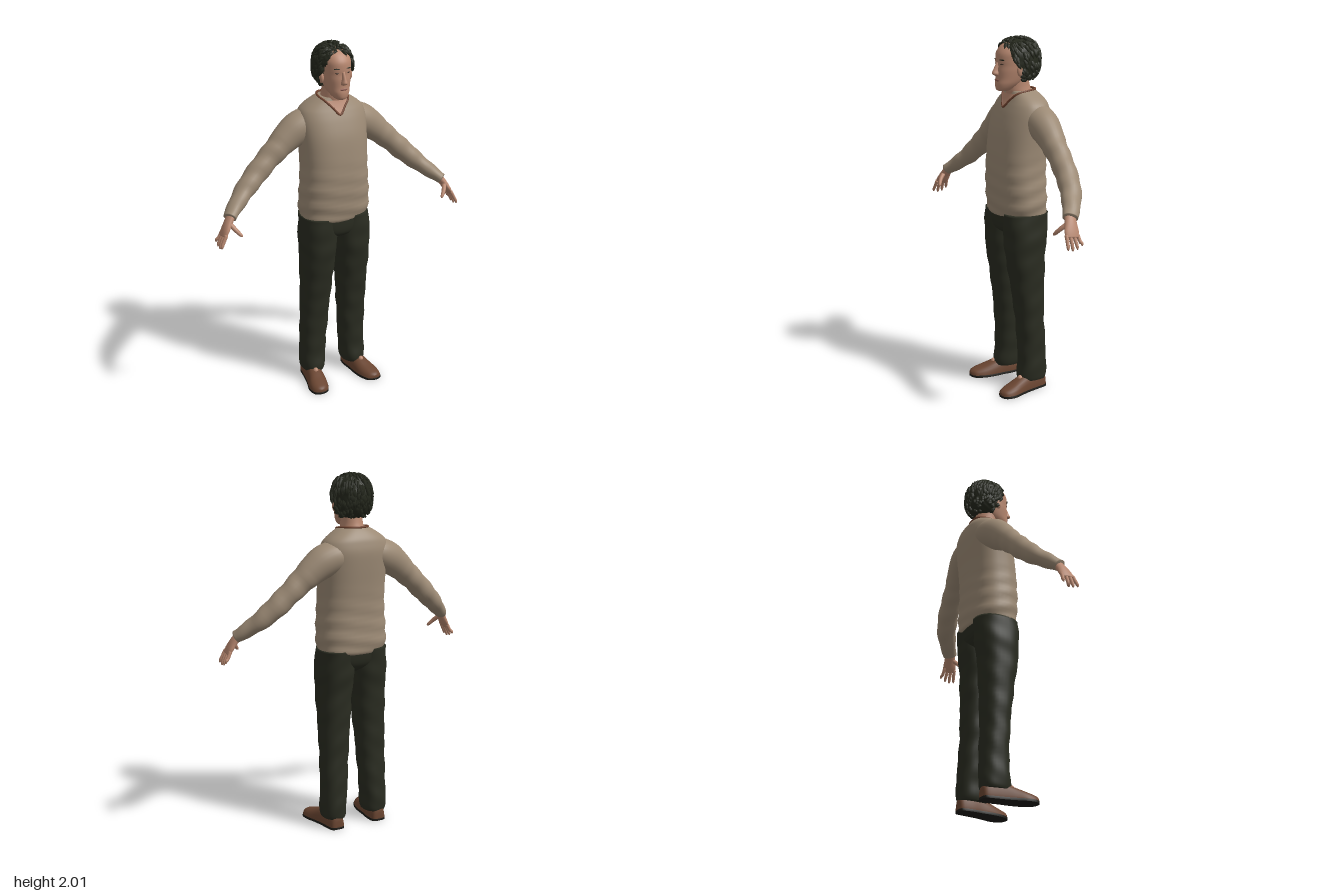
import * as THREE from 'three';
import { mergeGeometries } from 'three/addons/utils/BufferGeometryUtils.js';

const colours = {
  sweater: 0x9c8a75, trousers: 0x2a2c21, hair: 0x24271c, skin: 0xb88870, shoe: 0x6a4531,
  sole: 0x1c1b17, trim: 0x70432f, lips: 0x925f52, eyes: 0x4c392f,
};
const mats = {};
for (const [name, color] of Object.entries(colours)) {
  mats[name] = new THREE.MeshStandardMaterial({ color });
  mats[name].name = name;
}
const V = (x, y, z) => new THREE.Vector3(x, y, z);

// Smoothly subdivides a table of cross-section rows
function refine(rows, k = 4) {
  const out = [];
  for (let i = 0; i < rows.length - 1; i++) {
    const [a, b, c, d] = [-1, 0, 1, 2].map(o => rows[Math.min(rows.length - 1, Math.max(0, i + o))]);
    for (let j = 0; j < k; j++) {
      const t = j / k;
      out.push(b.map((p, n) => p + 0.5 * t * (c[n] - a[n] + t * (2 * a[n] - 5 * p + 4 * c[n] - d[n]
        + t * (3 * (p - c[n]) + d[n] - a[n])))));
    }
  }
  out.push(rows[rows.length - 1]);
  return out;
}

// Skins closed rings of points and caps both ends; side -1 mirrors in x
function loft(rings, side = 1) {
  if (side < 0) rings = rings.map(r => r.map(p => V(-p.x, p.y, p.z)).reverse());
  const n = rings[0].length, pos = [], idx = [];
  rings.forEach(r => r.forEach(p => pos.push(p.x, p.y, p.z)));
  for (let i = 0; i < rings.length - 1; i++) for (let j = 0; j < n; j++) {
    const a = i * n + j, b = i * n + (j + 1) % n;
    idx.push(a, a + n, b, b, a + n, b + n);
  }
  [0, rings.length - 1].forEach((r, end) => {
    const c = rings[r].reduce((s, p) => s.add(p), V(0, 0, 0)).divideScalar(n);
    const m = pos.length / 3;
    pos.push(c.x, c.y, c.z);
    for (let j = 0; j < n; j++) {
      const a = r * n + j, b = r * n + (j + 1) % n;
      end ? idx.push(m, b, a) : idx.push(m, a, b);
    }
  });
  const g = new THREE.BufferGeometry();
  g.setAttribute('position', new THREE.Float32BufferAttribute(pos, 3));
  g.setIndex(idx);
  g.computeVertexNormals();
  return g;
}
const circle = (n, e, f) => Array.from({ length: n }, (_, i) => {
  const a = i / n * Math.PI * 2, c = Math.cos(a), s = Math.sin(a);
  return f(Math.sign(c) * Math.abs(c) ** (2 / e), Math.sign(s) * Math.abs(s) ** (2 / e), a);
});

// Upright rings from rows of [y, xMin, xMax, zFront, zBack]
const upright = (rows, e = 2.3, n = 36, fold = () => 0) => rows.map(([y, x0, x1, zf, zb]) =>
  circle(n, e, (c, s, a) => {
    const w = fold(a, y);
    return V((x0 + x1) / 2 + c * ((x1 - x0) / 2 + w), y, (zf + zb) / 2 + s * ((zf - zb) / 2 + w));
  }));
const sym = rows => refine(rows.map(([y, w, zf, zb]) => [y, -w, w, zf, zb]));

// Rings across a path from rows of [x, y, z, thickness, width along z]
function along(rows, n = 20, fold = () => 0) {
  const p = rows.map(r => V(r[0], r[1], r[2]));
  return rows.map((r, i) => {
    const d = p[Math.min(i + 1, p.length - 1)].clone().sub(p[Math.max(i - 1, 0)]).normalize();
    const u = d.clone().cross(V(0, 0, 1)).normalize(), v = u.clone().cross(d);
    return circle(n, 2, (c, s, a) => p[i].clone().addScaledVector(u, c * (r[3] + fold(a, r[0])))
      .addScaledVector(v, s * (r[4] + fold(a, r[0]))));
  });
}

// Front surface depth of an upright loft
function frontZ(rows, x, y, e) {
  let i = 0;
  while (i < rows.length - 2 && rows[i + 1][0] < y) i++;
  const t = (y - rows[i][0]) / (rows[i + 1][0] - rows[i][0]);
  const [, , w, zf, zb] = rows[i].map((q, n) => q + t * (rows[i + 1][n] - q));
  return (zf + zb) / 2 + (zf - zb) / 2 * Math.max(0, 1 - Math.abs(x / w) ** e) ** (1 / e);
}

export function createModel() {
  const root = new THREE.Group();
  root.name = 'standingMan';
  const add = (name, geo, mat) => {
    const m = new THREE.Mesh(geo, mats[mat]);
    m.name = name;
    root.add(m);
    return m;
  };
  const ball = (name, mat, p, r) => {
    const m = add(name, new THREE.SphereGeometry(1, 20, 14), mat);
    m.position.set(...p);
    m.scale.set(...r);
    return m;
  };

  // Sweater body, with soft folds near the hem
  const torso = sym([[1.018, .18, .1, -.15], [1.04, .197, .112, -.162], [1.1, .202, .119, -.165], [1.2, .197, .126, -.163],
    [1.3, .191, .125, -.164], [1.4, .191, .117, -.17], [1.5, .195, .102, -.179], [1.58, .198, .077, -.183],
    [1.63, .187, .056, -.175], [1.66, .163, .042, -.165], [1.69, .12, .03, -.145], [1.712, .08, .024, -.125]]);
  const hemFold = (a, y) => .004 * Math.max(0, Math.min(1, (1.4 - y) * 5)) * Math.sin(y * 70 + 1.5 * Math.sin(2 * a));
  add('sweaterBody', loft(upright(torso, 2.4, 48, hemFold)), 'sweater');

  // Open neckline and its trim
  const neckline = new THREE.PlaneGeometry(2, 1, 10, 10), q = neckline.attributes.position;
  for (let i = 0; i < q.count; i++) {
    const t = q.getY(i) + .5, x = q.getX(i) * t * .068, y = 1.625 + t * .072;
    q.setXYZ(i, x, y, frontZ(torso, x, y, 2.4) + .004);
  }
  neckline.computeVertexNormals();
  add('neckline', neckline, 'skin');
  const half = [[.035, 1.66], [.07, 1.697]].map(([x, y]) => V(x, y, frontZ(torso, x, y, 2.4) + .003))
    .concat([V(.082, 1.711, -.04), V(.055, 1.716, -.11)]);
  const collar = [V(0, 1.623, frontZ(torso, 0, 1.623, 2.4) + .003), ...half, V(0, 1.716, -.126),
    ...half.map(p => V(-p.x, p.y, p.z)).reverse()];
  add('collarTrim', new THREE.TubeGeometry(new THREE.CatmullRomCurve3(collar, true), 80, .006, 8, true), 'trim');

  // Neck and head
  add('neck', loft(upright(sym([[1.64, .07, .02, -.12], [1.7, .064, .034, -.112], [1.74, .059, .036, -.1],
    [1.8, .058, .03, -.09]]), 2)), 'skin');
  const head = sym([[1.712, .02, .085, .035], [1.722, .036, .1, .01], [1.75, .055, .104, -.04], [1.78, .066, .1, -.08],
    [1.82, .075, .1, -.11], [1.85, .078, .097, -.12], [1.88, .08, .098, -.125], [1.92, .08, .092, -.12],
    [1.96, .064, .06, -.1], [1.985, .03, .01, -.06]]);
  add('head', loft(upright(head, 2.2)), 'skin');
  add('nose', loft(upright(sym([[1.793, .008, .1, .08], [1.8, .015, .118, .08], [1.81, .017, .13, .08],
    [1.83, .011, .122, .08], [1.868, .008, .102, .08]]), 2, 14)), 'skin');
  ball('mouth', 'lips', [0, 1.772, frontZ(head, 0, 1.772, 2.2) - .001], [.024, .006, .004]);
  for (const s of [1, -1]) {
    ball('eye', 'eyes', [s * .032, 1.86, frontZ(head, .032, 1.86, 2.2) - .002], [.012, .004, .004]).rotation.y = s * .3;
    ball('eyebrow', 'hair', [s * .034, 1.883, frontZ(head, .034, 1.883, 2.2) - .001], [.019, .0035, .004]).rotation.y = s * .3;
    ball('ear', 'skin', [s * .085, 1.825, .006], [.012, .03, .017]);
  }

  // Hair: a cap tucked in behind the face, covered with small locks
  let seed = 7;
  const rnd = () => (seed = seed * 16807 % 2147483647) / 2147483647;
  const centre = V(0, 1.872, -.034);
  const onCap = (d, k) => {
    const m = (Math.abs(d.x) ** 2.4 + Math.abs(d.y) ** 2.4 + Math.abs(d.z) ** 2.4) ** (1 / 2.4);
    return V(d.x * .097, d.y * .12, d.z * .114).multiplyScalar(k / m).add(centre);
  };
  const isFace = p => p.y < 1.94 && p.z > -.03 + .5 * (p.y - 1.74);
  const cap = new THREE.SphereGeometry(1, 56, 40), cp = cap.attributes.position;
  for (let i = 0; i < cp.count; i++) {
    const d = V().fromBufferAttribute(cp, i);
    const p = onCap(d, 1 + .02 * Math.sin(d.x * 23 + 3 * d.y) * Math.sin(d.z * 9 + d.y * 15));
    if (isFace(p)) p.sub(centre).multiplyScalar(.6).add(centre);
    cp.setXYZ(i, p.x, p.y, p.z);
  }
  cap.computeVertexNormals();
  add('hairCap', cap, 'hair');
  const locks = [];
  while (locks.length < 260) {
    const y = rnd() * 1.75 - .75, a = rnd() * Math.PI * 2, r = Math.sqrt(1 - y * y);
    const d = V(r * Math.sin(a), y, r * Math.cos(a));
    const flow = V(d.x * .5 + rnd() * .3 - .15, -1, -.4);
    const pts = [.97, 1.045, 1.05, 1.06].map((k, i) => onCap(d.clone().addScaledVector(flow, i * .12).normalize(), k));
    if (pts.some(isFace)) continue;
    locks.push(loft(along(pts.map((p, i) => [p.x, p.y, p.z, ...[.006, .009, .007, .001].slice(i, i + 1), [.01, .012, .008, .001][i]]), 6)));
  }
  add('hairLocks', mergeGeometries(locks), 'hair');

  // Seat of the trousers
  add('trouserSeat', loft(upright(sym([[.9, .04, .03, -.06], [.93, .11, .085, -.115], [.97, .185, .102, -.142],
    [1.04, .19, .104, -.153]]), 2.4)), 'trousers');

  const sleeve = refine([[.1, 1.575, -.075, .075, .085], [.14, 1.56, -.075, .088, .092], [.2, 1.535, -.073, .09, .088],
    [.26, 1.495, -.07, .08, .077], [.32, 1.445, -.065, .069, .067], [.38, 1.393, -.06, .062, .062],
    [.45, 1.328, -.05, .06, .061], [.52, 1.265, -.03, .053, .059], [.58, 1.213, .002, .044, .053],
    [.63, 1.172, .04, .036, .045], [.658, 1.148, .06, .033, .04]]);
  const legRows = refine([[.06, .07, .195, .035, -.125], [.09, .064, .2, .04, -.13], [.2, .055, .199, .03, -.13],
    [.4, .04, .199, .038, -.118], [.6, .026, .2, .063, -.12], [.8, .01, .204, .095, -.128],
    [.92, 0, .205, .104, -.142], [1.04, .002, .196, .104, -.152]], 8);
  const shoeRows = refine([[-.128, .135, .02, .05], [-.115, .135, .04, .085], [-.06, .137, .048, .095], [0, .145, .05, .095],
    [.05, .152, .055, .08], [.1, .163, .059, .062], [.14, .17, .054, .05], [.17, .173, .04, .04], [.185, .174, .014, .028]]);
  const footRings = (lo, hi, grow) => shoeRows.map(([z, cx, w, h]) => circle(28, 2.4, (c, s) =>
    V(cx + c * w * grow, Math.min(hi, Math.max(lo, -s * h)), z)));

  for (const s of [1, -1]) {
    const side = s > 0 ? 'left' : 'right';
    // Sleeve, hand, fingers and thumb
    add(side + 'Sleeve', loft(along(sleeve, 28, (a, x) =>
      x < .3 ? 0 : .0025 * Math.sin(x * 75 + 2 * Math.sin(a))), s), 'sweater');
    add(side + 'Palm', loft(along(refine([[.635, 1.17, .05, .023, .03], [.668, 1.125, .065, .02, .034],
      [.692, 1.085, .075, .016, .042], [.708, 1.058, .08, .01, .036]])), s), 'skin');
    for (let k = 0; k < 4; k++) {
      const z = .046 + .022 * k, tip = .036 + .028 * k, drop = [.02, .005, 0, .008][k];
      add(side + 'Finger', loft(along(refine([[.698, 1.075, z, .01, .01], [.717, 1.038, (z + tip) / 2, .0095, .0095],
        [.728, 1.008 + drop, tip, .008, .008], [.73, .995 + drop, tip, .003, .003]]), 10), s), 'skin');
    }
    add(side + 'Thumb', loft(along(refine([[.668, 1.125, .08, .014, .014], [.646, 1.095, .113, .012, .012],
      [.624, 1.068, .132, .009, .009], [.616, 1.06, .136, .003, .003]]), 10), s), 'skin');
    // Trouser leg with creases, then the shoe
    add(side + 'TrouserLeg', loft(upright(legRows, 2.4, 36, (a, y) =>
      .003 * Math.sin(y * 42 + 2 * Math.sin(a + 1)) * Math.sin(a * 2 + y * 9)), s), 'trousers');
    add(side + 'Shoe', loft(footRings(.012, 1, 1), s), 'shoe');
    add(side + 'Sole', loft(footRings(0, .013, 1.03), s), 'sole');
    ball(side + 'Sock', 'skin', [s * .15, .074, .042], [.016, .02, .016]);
  }
  return root;
}
